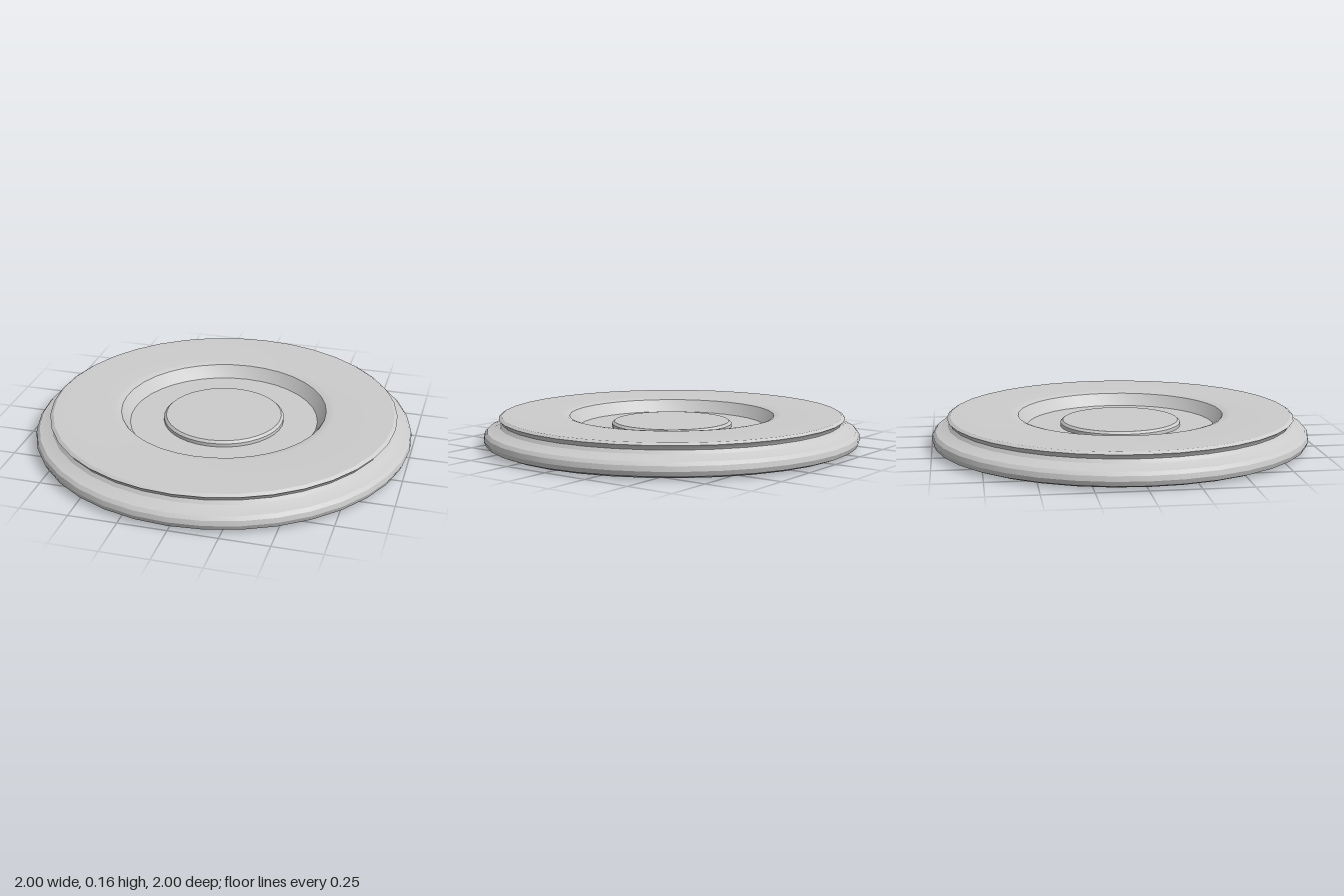
import * as THREE from 'three';
import { toCreasedNormals } from 'three/addons/utils/BufferGeometryUtils.js';

const material = new THREE.MeshStandardMaterial({ color: 0xcccccc });

// Revolves a [radius, height] profile around y, keeping its sharp edges
function turned(name, profile) {
  const points = profile.map(([r, y]) => new THREE.Vector2(r, y));
  const geometry = toCreasedNormals(new THREE.LatheGeometry(points, 36), 0.5);
  const mesh = new THREE.Mesh(geometry, material);
  mesh.name = name;
  return mesh;
}

export function createModel() {
  const group = new THREE.Group();
  group.name = 'turnedDisc';

  // Body: underside, rounded foot, hollow neck, top lip and recessed floor
  group.add(turned('body', [
    [0, 0], [0.9, 0], [0.96, 0.008], [0.99, 0.02],
    [1, 0.045], [0.995, 0.07], [0.98, 0.087],
    [0.945, 0.096], [0.915, 0.11], [0.902, 0.128], [0.908, 0.142],
    [0.92, 0.152], [0.903, 0.163],
    [0.59, 0.163], [0.565, 0.161], [0.545, 0.155],
    [0.525, 0.125], [0.5, 0.092], [0, 0.092],
  ]));

  // Raised button in the middle of the recess
  group.add(turned('centreButton', [
    [0.32, 0.09], [0.32, 0.11], [0.307, 0.122], [0, 0.122],
  ]));

  return group;
}
